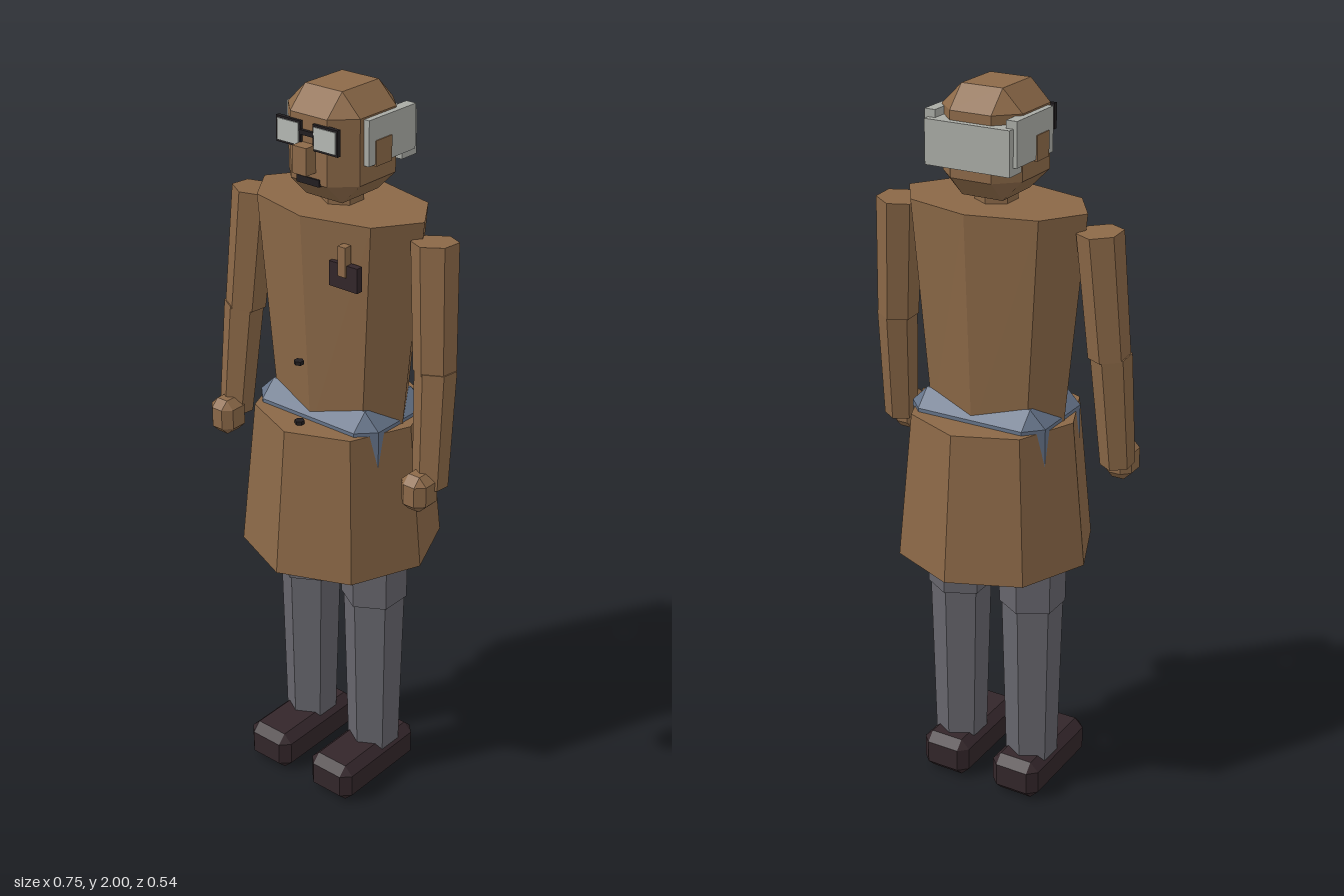
import * as THREE from 'three';
import { ConvexGeometry } from 'three/addons/geometries/ConvexGeometry.js';

const paint = (name, color) => {
  const m = new THREE.MeshStandardMaterial({ color, flatShading: true });
  m.name = name;
  return m;
};

export function createModel() {
  const coat = paint('coatBrown', 0x8b6847);
  const skin = paint('skinBrown', 0x8d6a49);
  const trousers = paint('trouserGrey', 0x66656c);
  const shirt = paint('shirtBlue', 0x66748a);
  const leather = paint('darkLeather', 0x33262a);
  const black = paint('black', 0x221e20);
  const hair = paint('hairGrey', 0xa9aba5);
  const glass = paint('lensGrey', 0xb6bab5);

  const model = new THREE.Group();
  model.name = 'figure';

  const add = (name, geometry, material, x = 0, y = 0, z = 0) => {
    const mesh = new THREE.Mesh(geometry, material);
    mesh.name = name;
    mesh.position.set(x, y, z);
    model.add(mesh);
    return mesh;
  };

  // Box given by its min and max corners
  const box = (name, material, [x0, y0, z0], [x1, y1, z1]) =>
    add(name, new THREE.BoxGeometry(x1 - x0, y1 - y0, z1 - z0), material,
      (x0 + x1) / 2, (y0 + y1) / 2, (z0 + z1) / 2);

  // Box with every edge cut at 45 degrees
  const chamferBox = (w, h, d, c) => {
    const half = [w / 2, h / 2, d / 2];
    const points = [];
    for (const sx of [-1, 1]) for (const sy of [-1, 1]) for (const sz of [-1, 1])
      for (let axis = 0; axis < 3; axis++) {
        const p = half.map((v, i) => (i === axis ? v : v - c));
        points.push(new THREE.Vector3(p[0] * sx, p[1] * sy, p[2] * sz));
      }
    return new ConvexGeometry(points);
  };

  // Six-sided tapered limb between two points
  const limb = (name, material, top, bottom, rTop, rBottom) => {
    const a = new THREE.Vector3(...top), b = new THREE.Vector3(...bottom);
    const axis = a.clone().sub(b);
    const mesh = add(name, new THREE.CylinderGeometry(rTop, rBottom, axis.length(), 6), material);
    mesh.position.copy(a).add(b).multiplyScalar(0.5);
    mesh.quaternion.setFromUnitVectors(new THREE.Vector3(0, 1, 0), axis.normalize());
  };

  // Torso: eight-sided, tapering to an oval waist
  const torso = new THREE.CylinderGeometry(1, 1, 0.6, 8);
  const pos = torso.attributes.position;
  for (let i = 0; i < pos.count; i++) {
    const upper = pos.getY(i) > 0;
    pos.setX(i, pos.getX(i) * (upper ? 0.26 : 0.2));
    pos.setZ(i, pos.getZ(i) * (upper ? 0.16 : 0.128));
  }
  add('torso', torso, coat, 0, 1.4, 0);

  // Coat skirt and the hips that show around the waist
  add('coatSkirt', new THREE.CylinderGeometry(0.23, 0.27, 0.405, 8), coat, 0, 0.9325, 0);
  add('hips', chamferBox(0.4, 0.26, 0.28, 0.045), shirt, 0, 1.06, 0);

  // Buttons
  for (const y of [1.31, 1.14])
    add('button', new THREE.CylinderGeometry(0.013, 0.013, 0.01, 6), black, 0, y, 0.17);

  // Breast pocket with pen
  box('breastPocket', leather, [0.08, 1.535, 0.125], [0.168, 1.6, 0.145]);
  box('pen', skin, [0.112, 1.57, 0.128], [0.136, 1.648, 0.151]);

  // Neck, head and face
  add('neck', new THREE.CylinderGeometry(0.055, 0.055, 0.12, 6), skin, 0, 1.7, 0);
  add('head', chamferBox(0.228, 0.28, 0.25, 0.056), skin, 0, 1.86, 0);
  box('nose', skin, [-0.022, 1.805, 0.1], [0.022, 1.875, 0.16]);
  box('moustache', black, [-0.036, 1.772, 0.1], [0.036, 1.79, 0.13]);
  box('glassesBridge', black, [-0.022, 1.895, 0.12], [0.022, 1.907, 0.134]);
  box('backHair', hair, [-0.12, 1.805, -0.143], [0.12, 1.92, -0.085]);

  for (const s of [-1, 1]) {
    const side = s > 0 ? 'left' : 'right';

    // Glasses, side hair and ears
    add(side + 'GlassesFrame', new THREE.BoxGeometry(0.078, 0.066, 0.012), black, s * 0.058, 1.895, 0.127);
    add(side + 'Lens', new THREE.BoxGeometry(0.068, 0.055, 0.005), glass, s * 0.058, 1.895, 0.133);
    add(side + 'Hair', new THREE.BoxGeometry(0.03, 0.115, 0.18), hair, s * 0.115, 1.8825, -0.035);
    add(side + 'Ear', new THREE.BoxGeometry(0.04, 0.065, 0.06), skin, s * 0.113, 1.8525, 0);

    // Arm and hand
    limb(side + 'UpperArm', coat, [s * 0.294, 1.66, 0.002], [s * 0.318, 1.33, 0.022], 0.06, 0.055);
    limb(side + 'Forearm', coat, [s * 0.322, 1.335, 0.024], [s * 0.335, 1.025, 0.052], 0.054, 0.046);
    add(side + 'Hand', chamferBox(0.078, 0.1, 0.09, 0.022), skin, s * 0.33, 1.025, 0.09);

    // Leg and shoe
    limb(side + 'Thigh', trousers, [s * 0.112, 0.98, 0], [s * 0.114, 0.58, 0], 0.096, 0.09);
    limb(side + 'Shin', trousers, [s * 0.114, 0.585, 0], [s * 0.116, 0.09, 0], 0.084, 0.072);
    add(side + 'Shoe', chamferBox(0.146, 0.115, 0.315, 0.025), leather, s * 0.113, 0.0575, 0.046);
  }

  return model;
}
